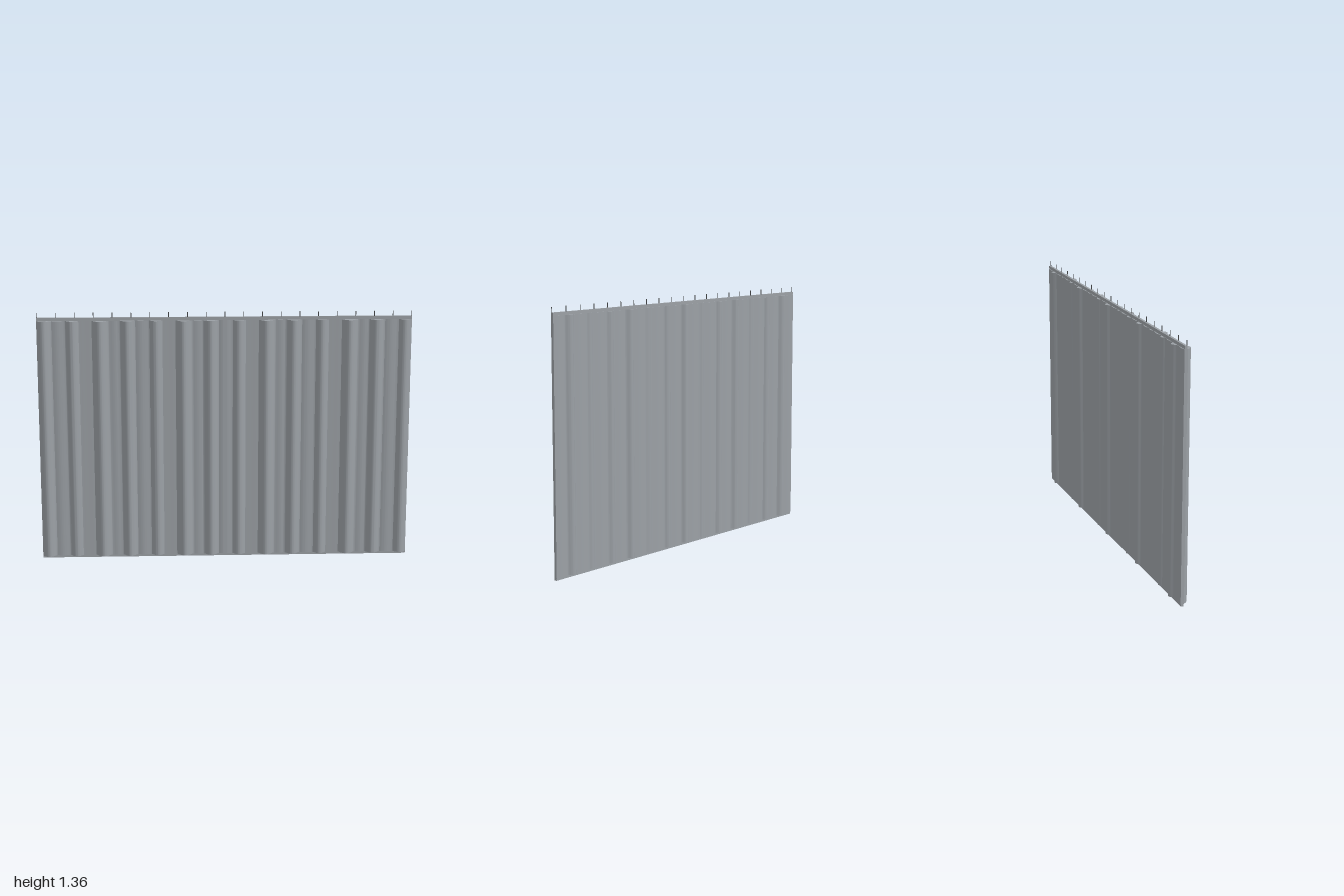
import * as THREE from 'three';
import { toCreasedNormals } from 'three/addons/utils/BufferGeometryUtils.js';

export function createModel() {
  const group = new THREE.Group();
  group.name = 'pleatedCurtain';
  const fabric = new THREE.MeshStandardMaterial({ color: 0x9ba0a5 });
  const metal = new THREE.MeshStandardMaterial({ color: 0x4a4c4e });
  const railZ = -0.0065;

  const add = (name, geometry, material, x, y, z) => {
    const mesh = new THREE.Mesh(geometry, material);
    mesh.name = name;
    mesh.position.set(x, y, z);
    group.add(mesh);
  };

  // Pleat profile: a regular wave with a slower one that varies the depth
  const cosine = (x, peak, period) => Math.cos((2 * Math.PI * (x - peak)) / period);
  const wave = (x) => 0.002 + 0.03 * cosine(x, -0.665, 0.148) + 0.007 * cosine(x, -0.63, 0.444);

  // Each pleat is padded: deep on one side, with a shallow swell on the other.
  // Every third backward pleat is flat in front.
  const samples = 432;
  const front = [];
  const back = [];
  for (let i = 0; i <= samples; i++) {
    const x = -1 + (2 * i) / samples;
    const z = wave(x);
    const swell = Math.abs(z - railZ);
    const frontSwell = 0.0005 + 0.14 * swell * (1 - cosine(x, -0.744, 0.444));
    const backSwell = 0.0135 + 0.15 * swell;
    front.push(new THREE.Vector2(x, -Math.max(z, frontSwell)));
    back.push(new THREE.Vector2(x, -Math.min(z, -backSwell)));
  }
  const outline = new THREE.Shape([...front, ...back.reverse()]);
  const cloth = new THREE.ExtrudeGeometry(outline, { depth: 1.3, bevelEnabled: false });
  cloth.rotateX(-Math.PI / 2);
  add('curtainCloth', toCreasedNormals(cloth, 0.5), fabric, 0, 0.013, 0);

  // Straight bands along the top and bottom
  const band = new THREE.BoxGeometry(2, 0.026, 0.013);
  add('topRail', band, fabric, 0, 1.317, railZ);
  add('bottomHem', band, fabric, 0, 0.013, railZ);

  // Row of hanging pins
  const pin = new THREE.CylinderGeometry(0.002, 0.002, 0.03, 8);
  for (let i = 0; i <= 20; i++) {
    add('hangingPin', pin, metal, -0.998 + i * 0.0998, 1.342, -0.003);
  }
  return group;
}
